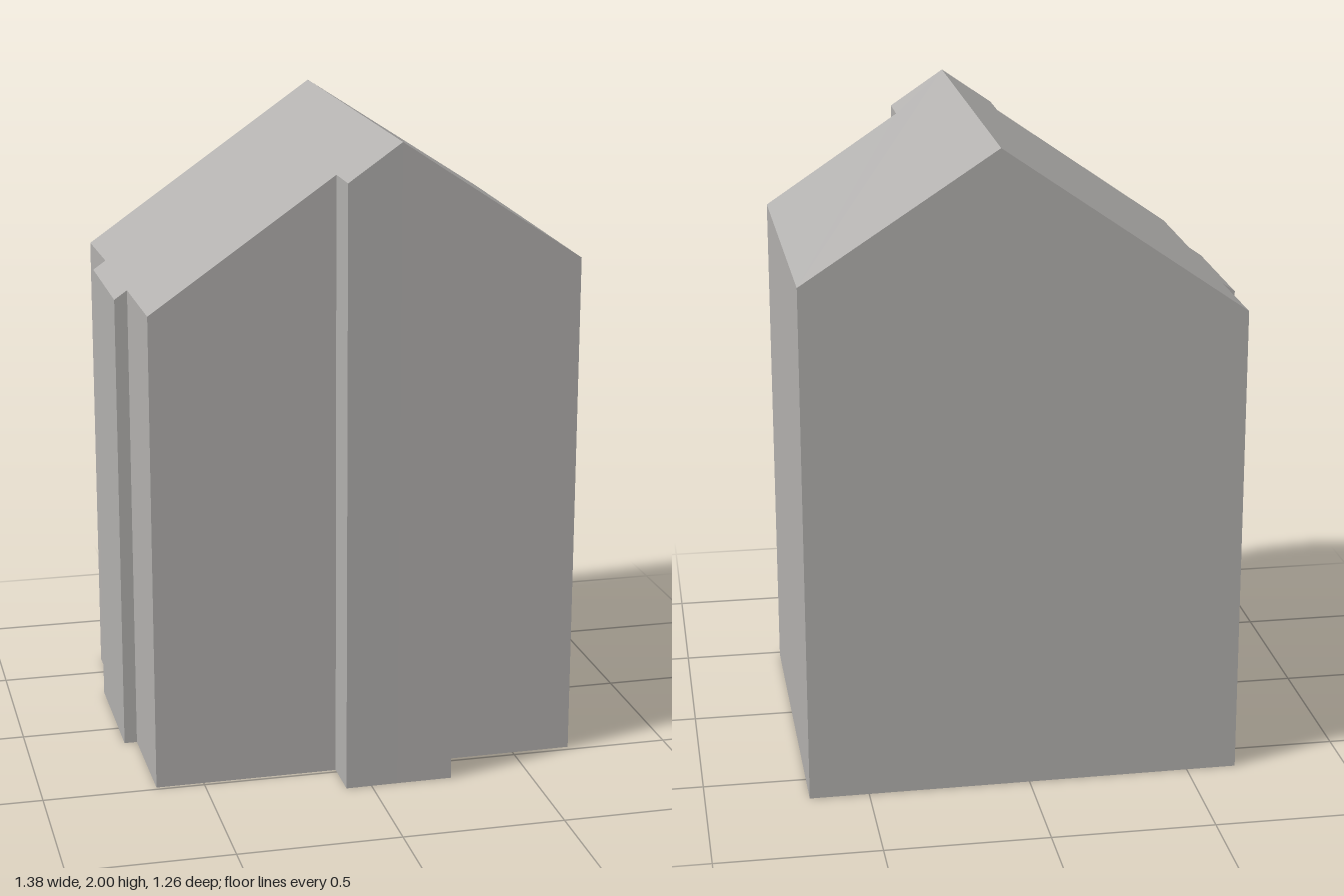
import * as THREE from 'three';

// Footprint halves as [x, z], counter-clockwise from above, both meeting at the ridge line
const leftHalf = [
  [0.09, -0.627], [-0.655, -0.62], [-0.65, -0.315], [-0.69, -0.315], [-0.69, 0.125],
  [-0.65, 0.125], [-0.648, 0.487], [-0.08, 0.485], [-0.08, 0.628], [0.083, 0.626],
];
const rightHalf = [
  [0.083, 0.626], [0.255, 0.625], [0.255, 0.483], [0.685, 0.48], [0.683, -0.632], [0.09, -0.627],
];

// Roof height: falls away from the slightly skewed ridge on both sides
function roofHeight(x, z) {
  const d = x - (0.0865 - 0.0056 * z);
  return 2 - (d < 0 ? -d * 0.695 : d * (0.6595 + 0.0155 * z));
}

function makeMesh(name, triangles, material) {
  const geometry = new THREE.BufferGeometry().setFromPoints(triangles);
  geometry.computeVertexNormals();
  const mesh = new THREE.Mesh(geometry, material);
  mesh.name = name;
  return mesh;
}

// One quad per footprint edge, from the ground to the roof
function walls(outline) {
  const points = [];
  for (let i = 0; i < outline.length - 1; i++) {
    const [ax, az] = outline[i], [bx, bz] = outline[i + 1];
    const a = new THREE.Vector3(ax, 0, az), b = new THREE.Vector3(bx, 0, bz);
    const c = new THREE.Vector3(bx, roofHeight(bx, bz), bz);
    const d = new THREE.Vector3(ax, roofHeight(ax, az), az);
    points.push(a, b, c, a, c, d);
  }
  return points;
}

// Footprint filled with triangles, lifted by a height rule
function cap(outline, height, faceDown = false) {
  const flat = outline.map(([x, z]) => new THREE.Vector2(x, -z));
  return THREE.ShapeUtils.triangulateShape(flat, []).flatMap((face) =>
    (faceDown ? [...face].reverse() : face).map((i) => {
      const [x, z] = outline[i];
      return new THREE.Vector3(x, height(x, z), z);
    }));
}

export function createModel() {
  const group = new THREE.Group();
  group.name = 'gabledHouse';
  const grey = new THREE.MeshStandardMaterial({ color: 0xb3b1af });
  grey.name = 'warm grey';

  for (const [side, outline] of [['left', leftHalf], ['right', rightHalf]]) {
    group.add(
      makeMesh(side + 'Walls', walls(outline), grey),
      makeMesh(side + 'Roof', cap(outline, roofHeight), grey),
      makeMesh(side + 'Base', cap(outline, () => 0, true), grey),
    );
  }
  return group;
}
